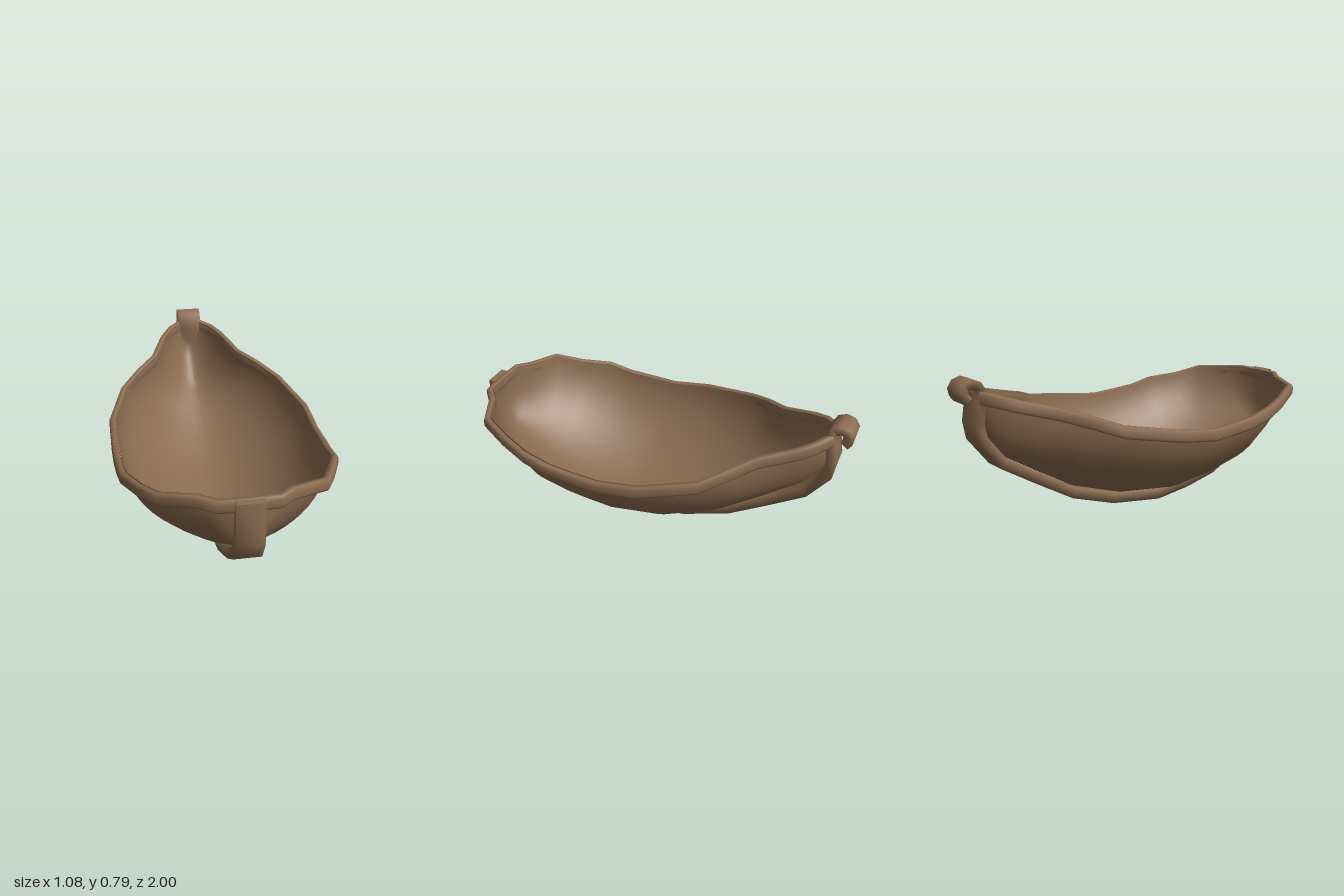
import * as THREE from 'three';

const wood = new THREE.MeshStandardMaterial({ color: 0x8b6c50, side: THREE.DoubleSide });
wood.name = 'brown wood';

const RAIL = { halfWidth: 0.018, halfHeight: 0.031 };

// Stations from bow to stern: rim half width, rim y, rim z, floor y, floor z
const STATIONS = [
  [0, 0.6, 0.955, 0.6, 0.944],
  [0.14, 0.6, 0.95, 0.426, 0.944],
  [0.21, 0.595, 0.89, 0.346, 0.9],
  [0.375, 0.58, 0.82, 0.262, 0.774],
  [0.44, 0.54, 0.68, 0.196, 0.655],
  [0.505, 0.52, 0.53, 0.13, 0.529],
  [0.515, 0.488, 0.4, 0.087, 0.345],
  [0.522, 0.476, 0.27, 0.077, 0.27],
  [0.524, 0.466, 0.13, 0.06, 0.15],
  [0.522, 0.492, -0.08, 0.097, -0.146],
  [0.44, 0.54, -0.36, 0.175, -0.389],
  [0.345, 0.585, -0.48, 0.287, -0.586],
  [0.245, 0.62, -0.59, 0.354, -0.7],
  [0.175, 0.667, -0.76, 0.397, -0.773],
  [0.125, 0.69, -0.835, 0.52, -0.87],
  [0.06, 0.705, -0.89, 0.59, -0.88],
  [0, 0.71, -0.905, 0.7, -0.882],
];

// Keel centre line: z, y, half thickness; it ends in a curl over the stern
const KEEL = [
  [0.974, 0.63, 0.026], [0.974, 0.42, 0.026], [0.925, 0.33, 0.026], [0.79, 0.235, 0.027],
  [0.54, 0.1, 0.028], [0.35, 0.055, 0.028], [0.15, 0.028, 0.028], [-0.15, 0.066, 0.027],
  [-0.4, 0.146, 0.027], [-0.6, 0.26, 0.027], [-0.79, 0.372, 0.027], [-0.895, 0.505, 0.027],
  [-0.908, 0.58, 0.026], [-0.892, 0.69, 0.024], [-0.89, 0.738, 0.022], [-0.904, 0.762, 0.022],
  [-0.933, 0.773, 0.022], [-0.962, 0.763, 0.022], [-0.977, 0.739, 0.022], [-0.972, 0.717, 0.022],
  [-0.955, 0.695, 0.022],
];

// Whole rim as a closed path of centres with horizontal outward normals
function rimPath() {
  const side = STATIONS.map(([x, y, z]) => [x, y, z]);
  const mirrored = side.slice(1, -1).reverse().map(([x, y, z]) => [-x, y, z]);
  const path = [...side, ...mirrored];
  return path.map(([x, y, z], i) => {
    const before = path[(i + path.length - 1) % path.length];
    const after = path[(i + 1) % path.length];
    const tx = after[0] - before[0], tz = after[2] - before[2];
    const length = Math.hypot(tx, tz);
    return { x, y, z, nx: -tz / length, nz: tx / length };
  });
}

// Joins rings of points into a smooth skin
function loft(name, rings, { ringClosed = false, pathClosed = false, caps = false } = {}) {
  const n = rings[0].length;
  const positions = rings.flat(2);
  const index = [];
  const lastRing = pathClosed ? rings.length : rings.length - 1;
  const lastSide = ringClosed ? n : n - 1;
  for (let i = 0; i < lastRing; i++) {
    const a = i * n, b = ((i + 1) % rings.length) * n;
    for (let j = 0; j < lastSide; j++) {
      const k = (j + 1) % n;
      index.push(a + j, b + j, b + k, a + j, b + k, a + k);
    }
  }
  if (caps) {
    [rings[0], rings[rings.length - 1]].forEach((ring, end) => {
      const base = positions.length / 3;
      positions.push(...ring.flat());
      for (let j = 1; j < n - 1; j++) {
        index.push(base, base + (end ? j + 1 : j), base + (end ? j : j + 1));
      }
    });
  }
  const geometry = new THREE.BufferGeometry();
  geometry.setAttribute('position', new THREE.Float32BufferAttribute(positions, 3));
  geometry.setIndex(index);
  geometry.computeVertexNormals();
  const mesh = new THREE.Mesh(geometry, wood);
  mesh.name = name;
  return mesh;
}

// Bowl: slightly pointed half-ellipses hung from the inner top edge of the rim
function hull(path) {
  const steps = 24;
  const power = 2 / 1.75;
  const rings = STATIONS.map(([, , , fy, fz], i) => {
    const p = path[i];
    const w = p.x - p.nx * RAIL.halfWidth * (p.x > 0 ? 1 : 0);
    const ry = p.y + RAIL.halfHeight * 0.9;
    const rz = p.z - p.nz * RAIL.halfWidth;
    return Array.from({ length: steps + 1 }, (_, j) => {
      const angle = (j / steps) * Math.PI;
      const c = Math.cos(angle);
      const s = Math.pow(Math.abs(Math.sin(angle)), power);
      return [w * Math.sign(c) * Math.pow(Math.abs(c), power), ry + (fy - ry) * s, rz + (fz - rz) * s];
    });
  });
  return loft('hull', rings);
}

// Rounded rail around the outside of the hull's edge
function rim(path) {
  const section = [[1, 0.55], [0.5, 1], [-0.5, 1], [-1, 0.55], [-1, -0.55], [-0.5, -1], [0.5, -1], [1, -0.55]];
  const rings = path.map(({ x, y, z, nx, nz }) => section.map(([u, v]) => [
    x + nx * u * RAIL.halfWidth, y + v * RAIL.halfHeight, z + nz * u * RAIL.halfWidth,
  ]));
  return loft('rim', rings, { ringClosed: true, pathClosed: true });
}

// Broad band from bow, under the hull, to the stern curl
function keel() {
  const half = 0.065;
  const rings = KEEL.map(([z, y, t], i) => {
    const [z0, y0] = KEEL[Math.max(i - 1, 0)];
    const [z1, y1] = KEEL[Math.min(i + 1, KEEL.length - 1)];
    const length = Math.hypot(z1 - z0, y1 - y0);
    const nz = (-(y1 - y0) / length) * t, ny = ((z1 - z0) / length) * t;
    return [[half, 1], [half, -1], [-half, -1], [-half, 1]]
      .map(([x, s]) => [x, y + ny * s, z + nz * s]);
  });
  return loft('keelBand', rings, { ringClosed: true, caps: true });
}

export function createModel() {
  const boat = new THREE.Group();
  boat.name = 'boat';
  const path = rimPath();
  boat.add(hull(path), rim(path), keel());
  return boat;
}
